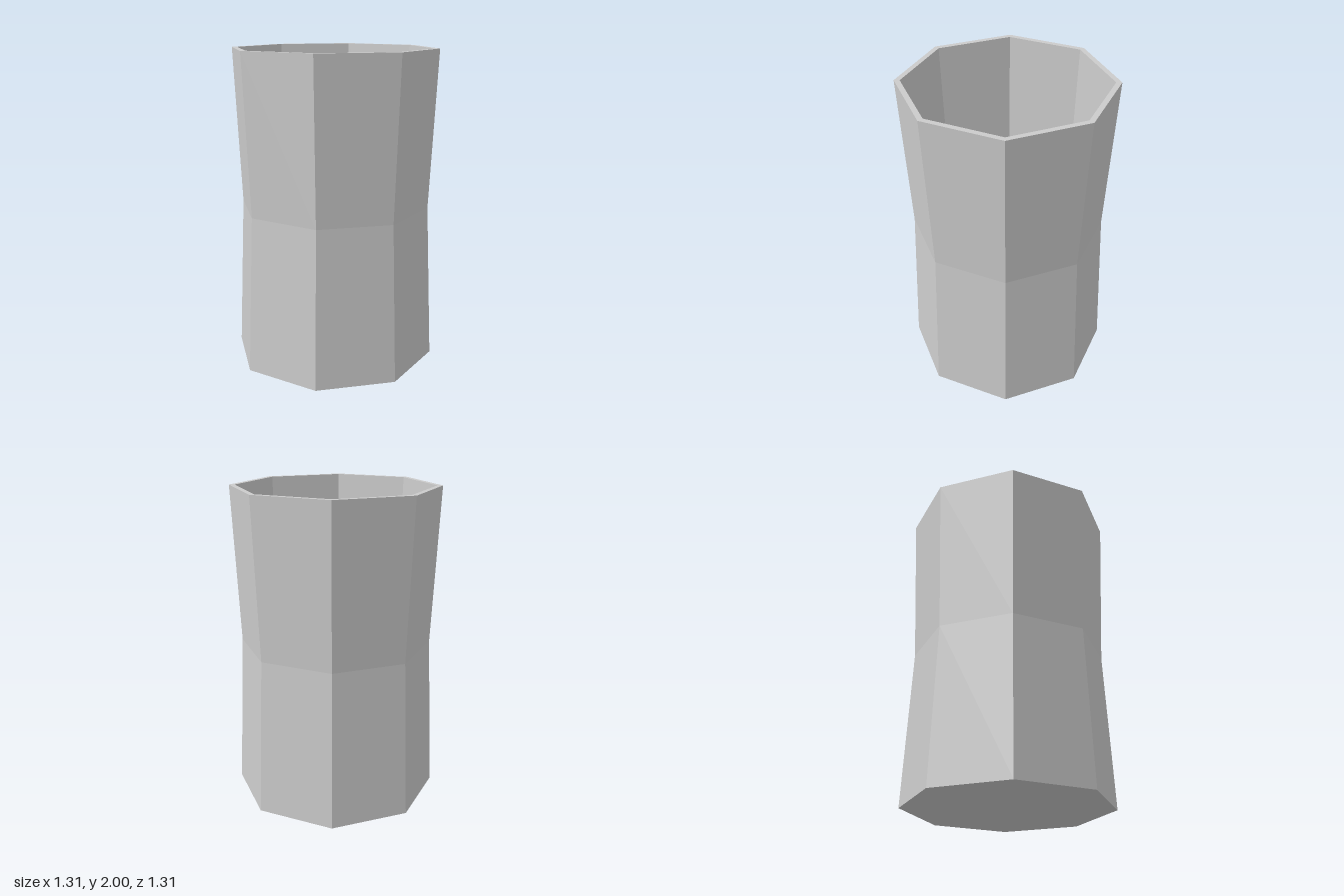
import * as THREE from 'three';

const SIDES = 8;

// Turns a list of [radius, height] pairs into an eight-sided faceted surface.
function facetedLathe(name, profile, material) {
  const points = profile.map(([r, y]) => new THREE.Vector2(r, y));
  const mesh = new THREE.Mesh(new THREE.LatheGeometry(points, SIDES), material);
  mesh.name = name;
  return mesh;
}

export function createModel() {
  const group = new THREE.Group();
  group.name = 'waistedCup';
  const material = new THREE.MeshStandardMaterial({ color: 0xcccccc, flatShading: true });

  const bottom = 0, waist = 1, top = 2, floor = 0.04;
  const outerEnd = 0.655, outerWaist = 0.61;
  const innerEnd = 0.62, innerWaist = 0.58;

  // Base and outer wall, pinched at mid height
  group.add(facetedLathe('outerWall', [
    [0, bottom], [outerEnd, bottom], [outerWaist, waist], [outerEnd, top],
  ], material));

  // Flat rim
  group.add(facetedLathe('rim', [[outerEnd, top], [innerEnd, top]], material));

  // Inner wall following the outer one, and the floor
  group.add(facetedLathe('innerWall', [
    [innerEnd, top], [innerWaist, waist], [innerEnd, floor], [0, floor],
  ], material));

  return group;
}
